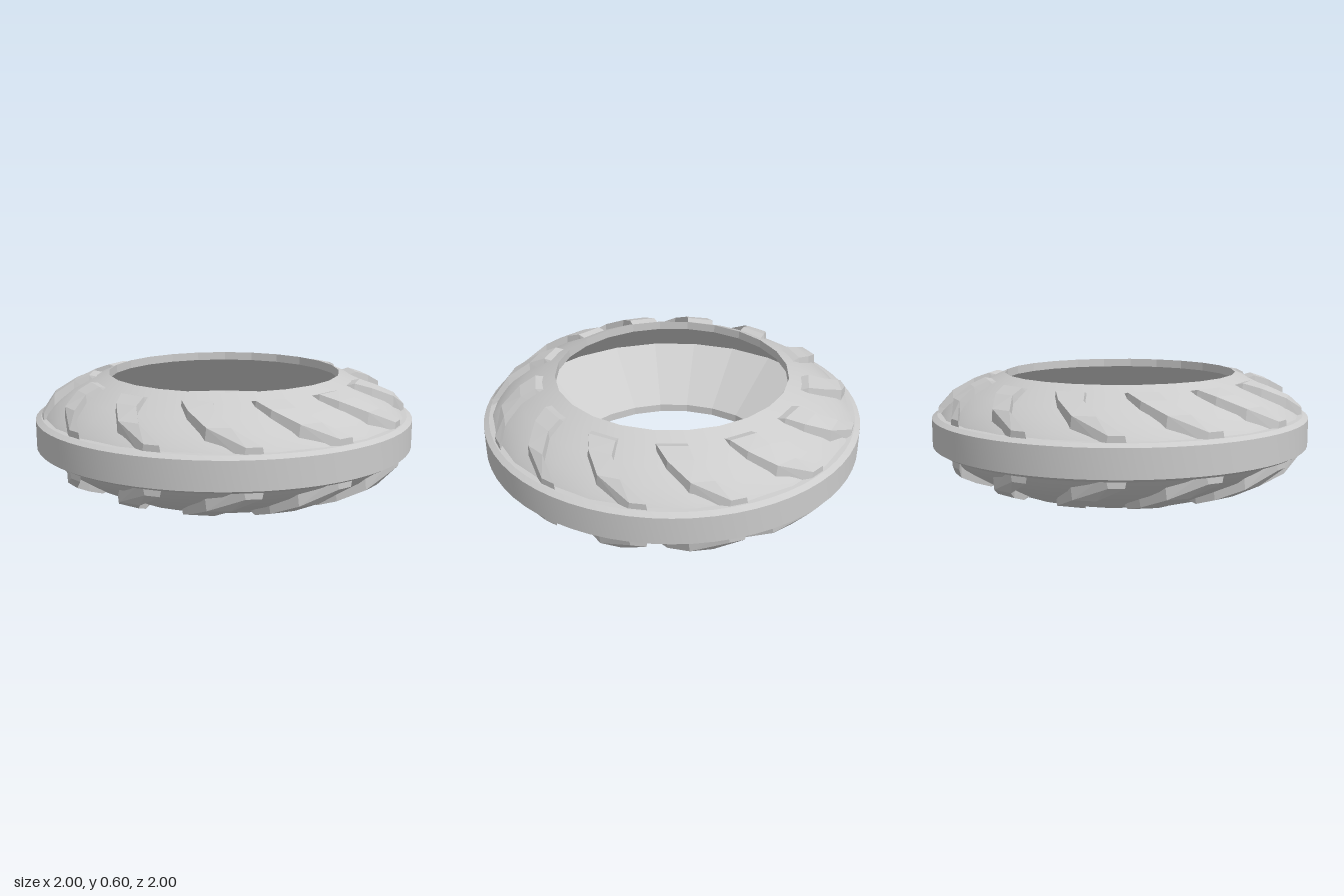
import * as THREE from 'three';
import { toCreasedNormals } from 'three/addons/utils/BufferGeometryUtils.js';

const MID = 0.3; // height of the mirror plane
const SIDES = 24;
const LUGS = 13;

// Revolve a half profile of [radius, height above the mid plane], mirrored top to bottom
function mirroredLathe(half, sides, outward) {
  const top = half.map(([r, h]) => new THREE.Vector2(r, MID + h));
  const bottom = half.filter(([, h]) => h > 0).map(([r, h]) => new THREE.Vector2(r, MID - h)).reverse();
  const points = [...bottom, ...top];
  if (!outward) points.reverse();
  return new THREE.LatheGeometry(points, sides, Math.PI / sides);
}

// Tread lug stations from inner to outer end:
// radius, sweep in degrees, half width, top height, base height (above the mid plane)
const STATIONS = [
  [0.665, 0.5, 0.075, 0.265, 0.22],
  [0.72, -0.5, 0.073, 0.278, 0.2],
  [0.8, -3, 0.062, 0.25, 0.16],
  [0.9, -9, 0.056, 0.195, 0.09],
  [0.965, -18.5, 0.038, 0.12, 0.06],
];

// side is 1 for the upper face, -1 for the lower face
function lugGeometry(side) {
  const positions = [];
  const index = [];
  const quad = (a, b, c, d) =>
    side > 0 ? index.push(a, b, c, a, c, d) : index.push(a, c, b, a, d, c);

  for (const [r, sweep, w, top, base] of STATIONS) {
    const flare = w + 0.012;
    for (const [t, h] of [[-w, top], [w, top], [flare, base], [-flare, base]]) {
      const a = THREE.MathUtils.degToRad(sweep) + t / r;
      positions.push(r * Math.sin(a), MID + side * h, -r * Math.cos(a));
    }
  }
  const last = (STATIONS.length - 1) * 4;
  for (let i = 0; i < last; i += 4) {
    for (let k = 0; k < 4; k++) {
      const n = (k + 1) % 4;
      quad(i + k, i + n, i + 4 + n, i + 4 + k);
    }
  }
  quad(0, 3, 2, 1);
  quad(last, last + 1, last + 2, last + 3);

  const geo = new THREE.BufferGeometry();
  geo.setAttribute('position', new THREE.Float32BufferAttribute(positions, 3));
  geo.setIndex(index);
  const flat = geo.toNonIndexed();
  flat.computeVertexNormals();
  return flat;
}

export function createModel() {
  const model = new THREE.Group();
  model.name = 'tire';
  const smooth = new THREE.MeshStandardMaterial({ color: 0xcccccc });
  const faceted = new THREE.MeshStandardMaterial({ color: 0xcccccc, flatShading: true });
  const add = (name, geometry, material, parent = model) => {
    const mesh = new THREE.Mesh(geometry, material);
    mesh.name = name;
    parent.add(mesh);
    return mesh;
  };

  // Rounded outer carcass
  const carcass = mirroredLathe(
    [[0.957, 0], [0.957, 0.085], [0.935, 0.11], [0.88, 0.16], [0.8, 0.212], [0.7, 0.262], [0.614, 0.3]],
    SIDES, true);
  add('carcass', toCreasedNormals(carcass, 0.6), smooth);

  // Short bead lips and the hollow V-shaped inside
  const lining = mirroredLathe([[0.945, 0], [0.614, 0.255], [0.614, 0.3]], SIDES, false);
  add('innerLining', lining, faceted);

  // Raised centre band with chamfered edges
  const band = mirroredLathe([[1, 0.072], [0.972, 0.088], [0.93, 0.092]], 64, true);
  add('centreBand', toCreasedNormals(band, 0.4), smooth);

  // Bent tread lugs around both faces
  for (const [side, label] of [[1, 'upper'], [-1, 'lower']]) {
    const group = new THREE.Group();
    group.name = `${label}Lugs`;
    model.add(group);
    const geometry = lugGeometry(side);
    for (let i = 0; i < LUGS; i++) {
      const lug = add(`${label}Lug${i + 1}`, geometry, faceted, group);
      lug.rotation.y = -THREE.MathUtils.degToRad(21 + (i * 360) / LUGS);
    }
  }
  return model;
}
